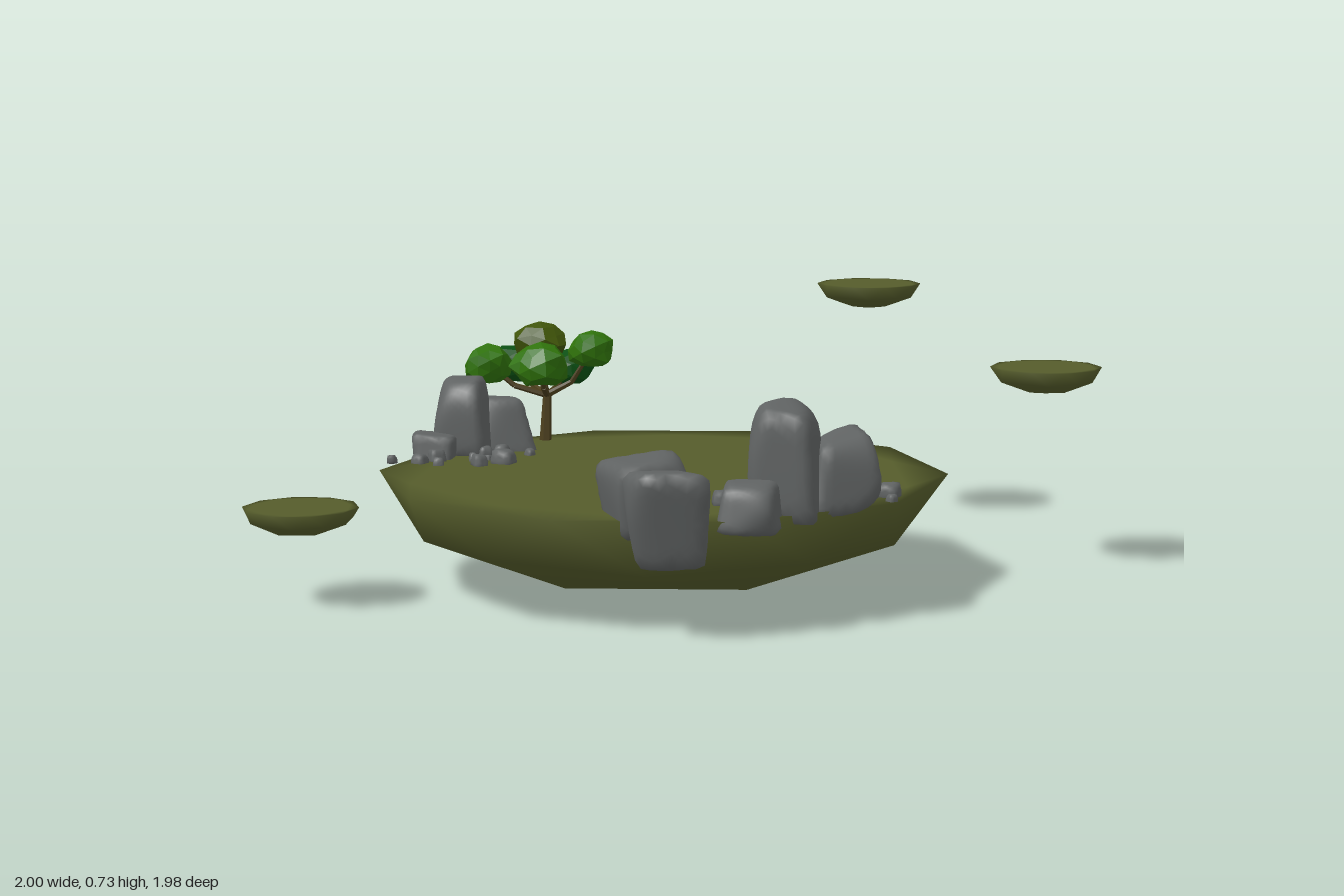
import * as THREE from 'three';
import { mergeVertices } from 'three/addons/utils/BufferGeometryUtils.js';

const material = (name, color) => Object.assign(new THREE.MeshStandardMaterial({ color }), { name });

// Small seeded random generator, 0..1
function seeded(seed) {
  let s = (seed * 7919 + 17) % 2147483647;
  return () => (s = (s * 48271) % 2147483647) / 2147483647;
}

// Joins shared corners so that normals run smoothly over the surface
function smooth(geometry) {
  geometry.deleteAttribute('uv');
  geometry.deleteAttribute('normal');
  const g = mergeVertices(geometry, 1e-4);
  g.computeVertexNormals();
  return g;
}

function eachVertex(geometry, rule) {
  const p = geometry.attributes.position, v = new THREE.Vector3();
  for (let i = 0; i < p.count; i++) {
    v.fromBufferAttribute(p, i);
    rule(v);
    p.setXYZ(i, v.x, v.y, v.z);
  }
  return geometry;
}

// Coarse ball with its upper half pressed flat, standing on its pole
function islandGeometry(radius, depth) {
  const g = new THREE.IcosahedronGeometry(1, 1);
  g.rotateZ(-Math.atan(2 / (1 + Math.sqrt(5))));
  eachVertex(g, v => v.set(v.x * radius, Math.min(v.y, 0) * depth, v.z * radius));
  return smooth(g);
}

// Rounded, chipped block fitted to a box; flare widens the top, lean shifts it in z
function boulderGeometry([x0, x1], [y0, y1], [z0, z1], { turn = 0, flare = -0.12, lean = 0, detail = 6, seed = 1 }) {
  const rand = seeded(seed), planes = [];
  const c = Math.cos(turn), s = Math.sin(turn);
  for (const [a, b, d] of [[1, 0, 0], [-1, 0, 0], [0, 1, 0], [0, -1, 0], [0, 0, 1], [0, 0, -1]]) {
    const n = new THREE.Vector3(a + (rand() - 0.5) * 0.25, b + (rand() - 0.5) * 0.25, d + (rand() - 0.5) * 0.25).normalize();
    planes.push(n.set(n.x * c + n.z * s, n.y, n.z * c - n.x * s));
  }
  for (let i = 0; i < 4; i++) {
    const n = new THREE.Vector3(rand() - 0.5, rand() - 0.3, rand() - 0.5).normalize();
    planes.push(n.multiplyScalar(0.85));
  }
  const g = new THREE.IcosahedronGeometry(1, detail);
  eachVertex(g, v => {
    let sum = 0;
    for (const n of planes) sum += Math.pow(Math.max(0, v.dot(n)), 11);
    v.multiplyScalar(Math.pow(sum, -1 / 11));
    const k = 1 + flare * v.y;
    v.set(v.x * k, v.y, v.z * k + lean * v.y);
  });
  g.computeBoundingBox();
  const lo = g.boundingBox.min.clone(), size = g.boundingBox.getSize(new THREE.Vector3());
  eachVertex(g, v => v.set(
    x0 + (v.x - lo.x) / size.x * (x1 - x0),
    y0 + (v.y - lo.y) / size.y * (y1 - y0),
    z0 + (v.z - lo.z) / size.z * (z1 - z0)));
  return smooth(g);
}

// Faceted clump of leaves with uneven corners
function leafGeometry(rx, ry, rz, seed) {
  const rand = seeded(seed), seen = {};
  const g = new THREE.IcosahedronGeometry(1, 1);
  eachVertex(g, v => {
    const key = [v.x, v.y, v.z].map(n => Math.round(n * 100)).join();
    seen[key] ??= 0.84 + rand() * 0.24;
    v.multiplyScalar(seen[key]);
    v.set(v.x * rx, Math.max(v.y, -0.8) * ry, v.z * rz);
  });
  return g;
}

// Tapered limb between two points
function limbGeometry(a, b, r0, r1) {
  const from = new THREE.Vector3(...a), to = new THREE.Vector3(...b);
  const dir = to.clone().sub(from);
  const g = new THREE.CylinderGeometry(r1, r0, dir.length(), 6);
  g.applyQuaternion(new THREE.Quaternion().setFromUnitVectors(new THREE.Vector3(0, 1, 0), dir.normalize()));
  const mid = from.add(to).multiplyScalar(0.5);
  return g.translate(mid.x, mid.y, mid.z);
}

export function createModel() {
  const model = new THREE.Group();
  const grass = material('moss', 0x555c2b);
  const stone = material('stone', 0x606363);
  const bark = material('bark', 0x4a3d1c);
  const darkLeaf = material('dark leaf', 0x0a4f12);
  const brightLeaf = material('bright leaf', 0x2f720b);
  const oliveLeaf = material('olive leaf', 0x3f5409);
  for (const m of [bark, darkLeaf, brightLeaf, oliveLeaf]) m.flatShading = true;

  const add = (parent, name, geometry, mat) => {
    const mesh = new THREE.Mesh(geometry, mat);
    mesh.name = name;
    parent.add(mesh);
    return mesh;
  };
  const group = name => {
    const g = new THREE.Group();
    g.name = name;
    model.add(g);
    return g;
  };

  // Main island and the three floating islets
  add(model, 'mainIsland', islandGeometry(0.773, 0.3), grass).position.set(-0.08, 0.3, 0.193);
  const isletGeometry = islandGeometry(0.154, 0.074);
  for (const [x, y, z] of [[0.18, 0.725, -0.84], [0.853, 0.567, -0.323], [-0.853, 0.26, 0.812]]) {
    add(model, 'islet', isletGeometry, grass).position.set(x, y, z);
  }

  // Boulders: x range, y range, z range, shape
  const frontRocks = group('frontRocks');
  const backRocks = group('sideRocks');
  const boulders = [
    [frontRocks, [-0.04, 0.23], [0.23, 0.445], [0.645, 0.92], { turn: 0.6, flare: 0.1, seed: 3 }],
    [frontRocks, [0.06, 0.33], [0.18, 0.435], [0.73, 0.99], { turn: 0.35, flare: 0.12, lean: 0.2, seed: 8 }],
    [frontRocks, [0.27, 0.445], [0.26, 0.39], [0.66, 0.835], { turn: 0.2, seed: 5 }],
    [frontRocks, [0.31, 0.515], [0.27, 0.578], [0.5, 0.712], { turn: 0.15, flare: -0.08, lean: 0.06, seed: 11 }],
    [frontRocks, [0.39, 0.635], [0.27, 0.495], [0.36, 0.62], { turn: 0.7, flare: -0.15, seed: 14 }],
    [backRocks, [-0.82, -0.645], [0.27, 0.515], [-0.03, 0.15], { turn: 0.1, flare: -0.1, lean: 0.06, seed: 17 }],
    [backRocks, [-0.77, -0.545], [0.27, 0.45], [-0.13, 0.07], { turn: 0.7, flare: -0.15, seed: 20 }],
    [backRocks, [-0.845, -0.705], [0.26, 0.37], [0.11, 0.245], { turn: 0.3, flare: -0.05, seed: 23 }],
  ];
  for (const [parent, x, y, z, shape] of boulders) add(parent, 'boulder', boulderGeometry(x, y, z, shape), stone);

  // Pebbles scattered at the feet of the boulders: x, z, radius
  const pebbles = [
    [0.605, 0.34, 0.03], [0.635, 0.41, 0.016], [0.24, 0.6, 0.03], [0.135, 0.595, 0.013], [0.275, 0.51, 0.013],
    [0.12, 0.66, 0.02], [0.2, 0.67, 0.018], [0.17, 0.63, 0.012], [0.37, 0.485, 0.03], [0.3, 0.63, 0.02],
    [0.16, 0.68, 0.02], [-0.55, 0.2, 0.033], [-0.595, 0.265, 0.026], [-0.7, 0.3, 0.018], [-0.765, 0.285, 0.022],
    [-0.735, 0.235, 0.028], [-0.64, 0.205, 0.012], [-0.61, 0.17, 0.012], [-0.64, 0.12, 0.025], [-0.62, 0.06, 0.022],
    [-0.535, 0.055, 0.016], [-0.66, 0.165, 0.014], [-0.6, 0.115, 0.011],
  ];
  pebbles.forEach(([x, z, r], i) => {
    const g = boulderGeometry([x - r, x + r], [0.29, 0.3 + r * 1.2], [z - r, z + r], { turn: i, detail: 2, seed: 40 + i });
    add(x > 0 ? frontRocks : backRocks, 'pebble', g, stone);
  });
  add(backRocks, 'pebble', boulderGeometry([-0.842, -0.818], [0.3, 0.325], [0.31, 0.335], { detail: 2, seed: 90 }), stone);

  // Leaf clumps: centre, radii, colour
  const tree = group('tree');
  const clumps = [
    [[-0.745, 0.5, -0.335], [0.09, 0.06, 0.08], darkLeaf],
    [[-0.595, 0.495, -0.355], [0.08, 0.058, 0.072], darkLeaf],
    [[-0.765, 0.52, -0.17], [0.07, 0.063, 0.075], brightLeaf],
    [[-0.47, 0.565, -0.245], [0.07, 0.058, 0.072], brightLeaf],
    [[-0.575, 0.53, -0.115], [0.09, 0.068, 0.08], brightLeaf],
    [[-0.625, 0.58, -0.225], [0.088, 0.062, 0.075], oliveLeaf],
  ];
  // Trunk with a branch to every clump
  const fork = [-0.605, 0.43, -0.23];
  add(tree, 'trunk', limbGeometry([-0.605, 0.29, -0.215], fork, 0.018, 0.012), bark);
  clumps.forEach(([centre, radii, mat], i) => {
    const elbow = fork.map((f, k) => f + (centre[k] - f) * (k === 1 ? 0.3 : 0.55));
    add(tree, 'branch', limbGeometry(fork, elbow, 0.01, 0.008), bark);
    add(tree, 'branchTip', limbGeometry(elbow, centre, 0.008, 0.005), bark);
    add(tree, 'leafClump', leafGeometry(...radii, 60 + i), mat).position.set(...centre);
  });

  return model;
}
